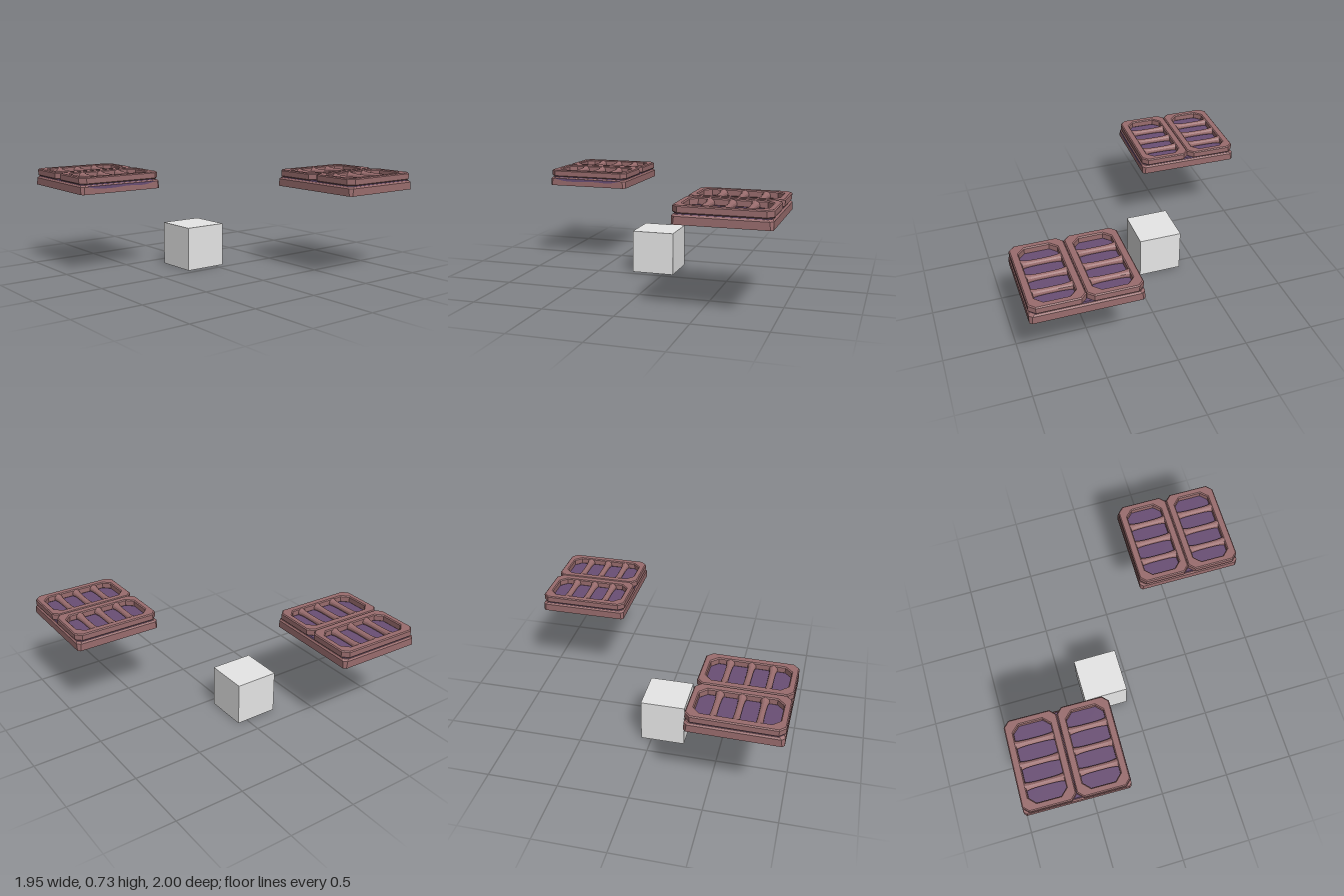
import * as THREE from 'three';

const mat = (name, color) => {
  const m = new THREE.MeshStandardMaterial({ color, flatShading: true });
  m.name = name;
  return m;
};

// Rectangle with cut corners, added to a Shape or Path
function octagon(target, w, d, c, cx = 0) {
  const x = w / 2, z = d / 2;
  const pts = [[x - c, -z], [x, -z + c], [x, z - c], [x - c, z],
    [-x + c, z], [-x, z - c], [-x, -z + c], [-x + c, -z]];
  target.setFromPoints(pts.map(([a, b]) => new THREE.Vector2(a + cx, b)));
  return target;
}

// Upright prism lofted through cut-corner rings given as [width, depth, cut, y]
function loft(rings) {
  const loops = rings.map(([w, d, c, y]) =>
    octagon(new THREE.Shape(), w, d, c).getPoints().slice(0, 8).map(p => [p.x, y, p.y]));
  const pos = [];
  const tri = (a, b, c) => pos.push(...a, ...b, ...c);
  for (let r = 0; r + 1 < loops.length; r++) {
    for (let i = 0; i < 8; i++) {
      const j = (i + 1) % 8, lo = loops[r], hi = loops[r + 1];
      tri(lo[i], hi[i], hi[j]);
      tri(lo[i], hi[j], lo[j]);
    }
  }
  const bottom = loops[0], top = loops[loops.length - 1];
  for (let i = 1; i < 7; i++) {
    tri(top[0], top[i + 1], top[i]);
    tri(bottom[0], bottom[i], bottom[i + 1]);
  }
  const g = new THREE.BufferGeometry();
  g.setAttribute('position', new THREE.Float32BufferAttribute(pos, 3));
  g.computeVertexNormals();
  return g;
}

// Top frame with an eight-sided opening and softly cut edges
function frameGeometry() {
  const b = 0.007;
  const shape = octagon(new THREE.Shape(), 0.364 - 2 * b, 0.632 - 2 * b, 0.036);
  shape.holes.push(octagon(new THREE.Path(), 0.256 + 2 * b, 0.54 + 2 * b, 0.05));
  const g = new THREE.ExtrudeGeometry(shape, {
    depth: 0.051 - 2 * b, bevelEnabled: true, bevelSize: b, bevelThickness: b, bevelSegments: 1,
  });
  g.rotateX(-Math.PI / 2);
  g.translate(0, 0.069 + b, 0);
  return g;
}

// Rung that flares toward both ends
function rungGeometry() {
  const profile = [];
  for (let i = 0; i <= 8; i++) {
    const t = i / 4 - 1;
    profile.push(new THREE.Vector2(0.021 + 0.01 * t ** 4, t * 0.135));
  }
  return new THREE.LatheGeometry(profile, 12).rotateZ(Math.PI / 2);
}

export function createModel() {
  const wood = mat('dusty red', 0x9a6d6e);
  const purple = mat('purple', 0x6a4f75);
  const grey = mat('light grey', 0xe7e7e7);
  const root = new THREE.Group();
  root.name = 'model';

  const add = (parent, name, geometry, material, x = 0, y = 0, z = 0) => {
    const m = new THREE.Mesh(geometry, material);
    m.name = name;
    m.position.set(x, y, z);
    parent.add(m);
    return m;
  };

  const base = loft([[0.736, 0.632, 0.016, 0], [0.736, 0.632, 0.022, 0.052], [0.718, 0.614, 0.026, 0.063]]);
  const liner = loft([[0.712, 0.608, 0.03, 0.058], [0.705, 0.6, 0.03, 0.073]]);
  const frame = frameGeometry();
  const rung = rungGeometry();

  // Wavy purple patch showing through one side of the base
  const wave = new THREE.Shape();
  wave.moveTo(-0.28, 0.056);
  wave.splineThru([[-0.2, 0.038], [-0.08, 0.034], [0.05, 0.04], [0.18, 0.036], [0.28, 0.055]]
    .map(([x, y]) => new THREE.Vector2(x, y)));
  wave.closePath();
  const patch = new THREE.ExtrudeGeometry(wave, { depth: 0.003, bevelEnabled: false }).rotateY(Math.PI / 2);

  function slab(name, x, y, z, turn) {
    const g = new THREE.Group();
    g.name = name;
    g.position.set(x, y, z);
    g.rotation.y = turn;
    add(g, 'base', base, wood);
    add(g, 'liner', liner, purple);
    for (const s of [-1, 1]) {
      add(g, 'topFrame', frame, wood, s * 0.183);
      for (const rz of [-0.145, 0, 0.145]) add(g, 'rung', rung, wood, s * 0.183, 0.088, rz);
    }
    root.add(g);
    return g;
  }

  slab('backLeftPanel', 0.602, 0.61, -0.68, -0.004);
  const front = slab('frontRightPanel', -0.6, 0.604, 0.675, -0.02);
  add(front, 'sidePatch', patch, purple, 0.3665);

  // Plain cube on the ground
  add(root, 'cube', new THREE.BoxGeometry(0.316, 0.316, 0.316), grey, -0.21, 0.158, 0.083);
  return root;
}
